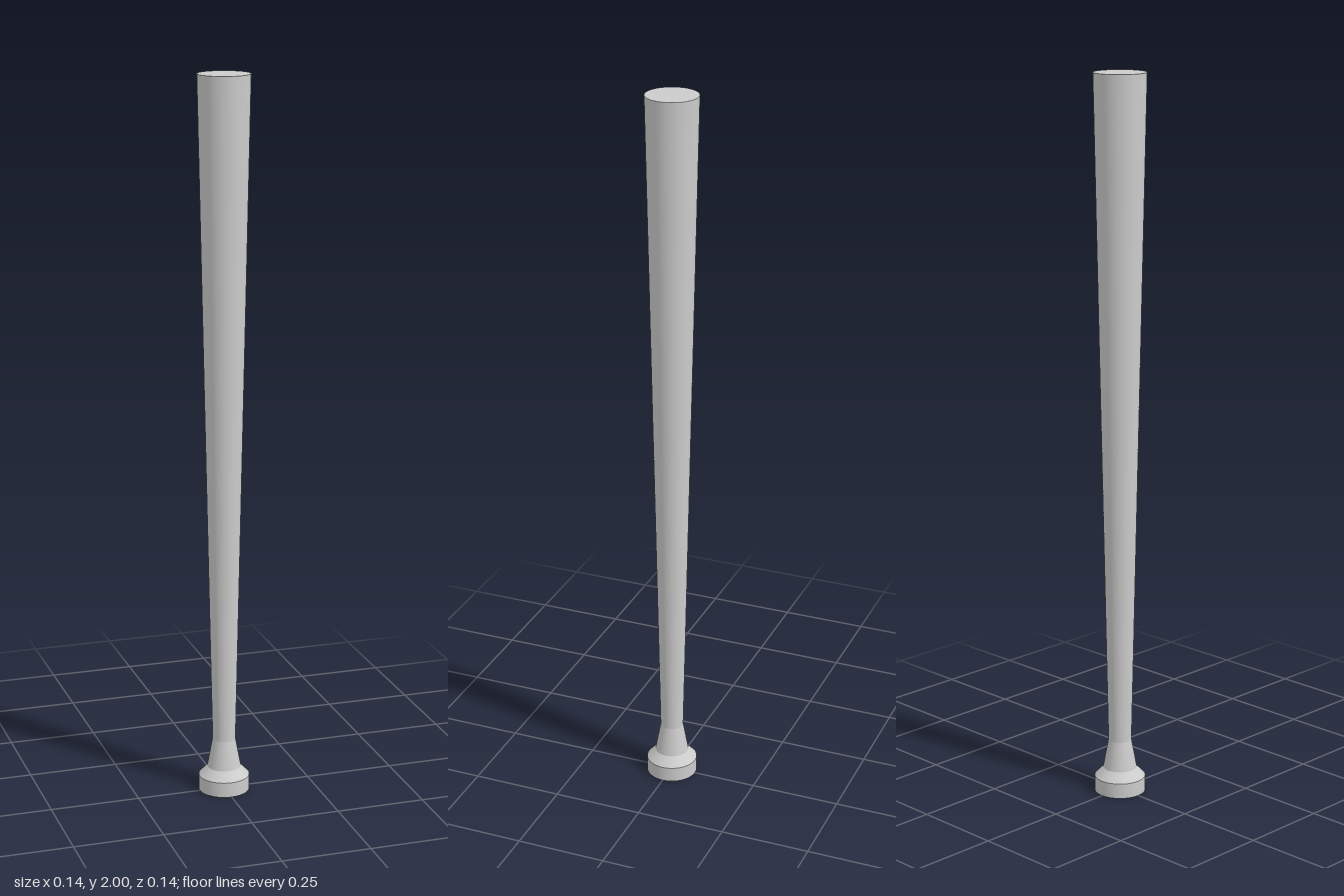
import * as THREE from 'three';

const SIDES = 48;
const material = new THREE.MeshStandardMaterial({ color: 0xcccccc });

// Open tapered band between two heights
function band(name, r0, y0, r1, y1) {
  const geometry = new THREE.CylinderGeometry(r1, r0, y1 - y0, SIDES, 1, true);
  const mesh = new THREE.Mesh(geometry, material);
  mesh.name = name;
  mesh.position.y = (y0 + y1) / 2;
  return mesh;
}

// Flat round end, facing up (1) or down (-1)
function cap(name, r, y, facing) {
  const geometry = new THREE.CircleGeometry(r, SIDES, Math.PI / 2);
  const mesh = new THREE.Mesh(geometry, material);
  mesh.name = name;
  mesh.rotation.x = -facing * Math.PI / 2;
  mesh.position.y = y;
  return mesh;
}

export function createModel() {
  const bat = new THREE.Group();
  bat.name = 'bat';
  bat.add(
    // Knob at the bottom of the handle
    cap('knobEnd', 0.071, 0, -1),
    band('knobRim', 0.071, 0, 0.071, 0.043),
    band('knobShoulder', 0.071, 0.043, 0.047, 0.068),
    band('knobFlare', 0.047, 0.068, 0.032, 0.15),
    // Long taper from handle to barrel
    band('shaft', 0.032, 0.15, 0.071, 2),
    cap('barrelEnd', 0.071, 2, 1)
  );
  return bat;
}
